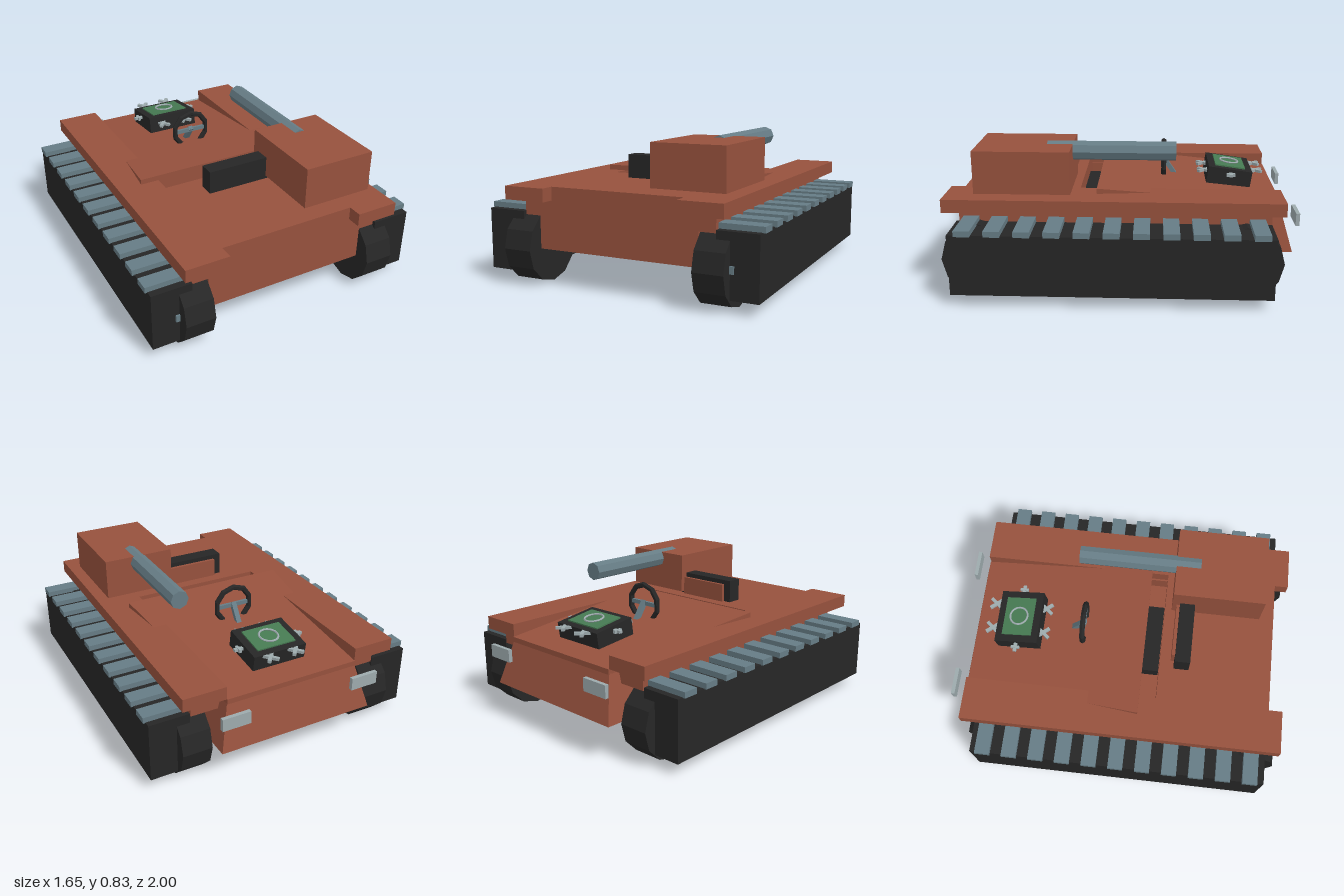
import * as THREE from 'three';

const paint = (name, color) => Object.assign(new THREE.MeshStandardMaterial({ color, flatShading: true }), { name });

export function createModel() {
  const model = new THREE.Group();
  model.name = 'trackedVehicle';
  const rust = paint('rustPaint', 0x96513d);
  const black = paint('blackRubber', 0x262626);
  const steel = paint('blueSteel', 0x667c85);
  const pale = paint('paleMetal', 0x9daaad);
  const green = paint('greenPanel', 0x467a52);

  const add = (name, geo, mat, parent = model) => {
    const m = new THREE.Mesh(geo, mat);
    m.name = name;
    parent.add(m);
    return m;
  };
  // Box given by its minimum and maximum on each axis
  const box = (name, mat, [x0, x1], [y0, y1], [z0, z1], parent = model) => {
    const m = add(name, new THREE.BoxGeometry(x1 - x0, y1 - y0, z1 - z0), mat, parent);
    m.position.set((x0 + x1) / 2, (y0 + y1) / 2, (z0 + z1) / 2);
    return m;
  };
  // Closed shape from pairs of points
  const shape = pts => new THREE.Shape(pts.map(p => new THREE.Vector2(...p)));

  // Hull: side profile (-z, y) with a cockpit recess, narrowed at the upper tail
  const hull = new THREE.ExtrudeGeometry(shape([
    [-0.905, 0.21], [0.97, 0.21], [0.895, 0.465], [0, 0.55],
    [0, 0.4], [-0.24, 0.4], [-0.24, 0.56], [-0.905, 0.56],
  ]), { depth: 0.96, bevelEnabled: false });
  hull.translate(0, 0, -0.48).rotateY(Math.PI / 2);
  const hp = hull.attributes.position;
  for (let i = 0; i < hp.count; i++) {
    if (hp.getZ(i) < -0.5) hp.setX(i, Math.sign(hp.getX(i)) * (hp.getY(i) > 0.4 ? 0.4 : 0.465));
  }
  hull.computeVertexNormals();
  add('hull', hull, rust);

  // Sloping bonnet, widening toward the cockpit
  const bonnet = new THREE.ExtrudeGeometry(shape([
    [-0.51, -0.14], [0.51, -0.14], [0.4, 0.9], [-0.4, 0.9],
  ]), { depth: 0.03, bevelEnabled: false });
  bonnet.rotateX(-Math.PI / 2);
  const bp = bonnet.attributes.position;
  for (let i = 0; i < bp.count; i++) bp.setY(i, bp.getY(i) + 0.56 + (bp.getZ(i) - 0.14) * 0.1);
  bonnet.computeVertexNormals();
  add('bonnet', bonnet, rust);

  // Both flanks
  for (const s of [-1, 1]) {
    const side = new THREE.Group();
    side.name = s > 0 ? 'leftFlank' : 'rightFlank';
    model.add(side);
    const span = (a, b) => (s > 0 ? [a, b] : [-b, -a]);

    box('fender', rust, span(0.4, 0.65), [0.485, 0.56], [-0.895, 0.985], side);
    box('sponson', rust, span(0.39, 0.575), [0.395, 0.486], [-0.83, 0.905], side);
    box('trackBlock', black, span(0.58, 0.81), [0.07, 0.415], [-0.83, 0.92], side);
    for (let i = 0; i < 11; i++) {
      const z = -0.75 + i * 0.1585;
      box('trackPad', steel, span(0.57, 0.823), [0.412, 0.445], [z - 0.044, z + 0.044], side);
    }
    for (const z of [0.79, -0.69]) {
      const wheel = add('wheel', new THREE.CylinderGeometry(0.21, 0.21, 0.17, 12).rotateZ(Math.PI / 2), black, side);
      wheel.position.set(s * 0.57, 0.212, z);
    }
    box('axleStub', steel, span(0.64, 0.678), [0.205, 0.245], [0.9, 0.93], side);
    box('lamp', pale, span(0.315, 0.48), [0.375, 0.448], [-0.998, -0.976], side);
  }

  // Seat
  box('seatCushion', black, [-0.21, 0.21], [0.4, 0.48], [0.13, 0.237]);
  box('seatBack', black, [-0.208, 0.208], [0.55, 0.697], [0.325, 0.415]);
  box('seatBackPad', rust, [-0.16, 0.16], [0.56, 0.67], [0.305, 0.326]);

  // Gun box and octagonal barrel
  box('gunBox', rust, [0.16, 0.588], [0.577, 0.817], [0.28, 0.815]);
  add('barrel', new THREE.CylinderGeometry(0.055, 0.055, 0.725, 8).rotateX(Math.PI / 2), steel)
    .position.set(0.375, 0.775, 0.0625);

  // Steering wheel with crossbar and column
  const steering = new THREE.Group();
  steering.name = 'steering';
  steering.position.set(0, 0.63, -0.235);
  model.add(steering);
  add('steeringRim', new THREE.TorusGeometry(0.111, 0.017, 6, 10).rotateZ(Math.PI / 10), black, steering);
  box('steeringCrossbar', steel, [-0.105, 0.105], [-0.012, 0.012], [-0.008, 0.008], steering);
  const column = add('steeringColumn', new THREE.BoxGeometry(0.03, 0.14, 0.026), steel, steering);
  column.position.set(0, -0.045, -0.035);
  column.rotation.x = 0.6;

  // Tilted instrument console with ring and fittings
  const consoleGroup = new THREE.Group();
  consoleGroup.name = 'console';
  consoleGroup.position.set(0, 0.61, -0.633);
  consoleGroup.rotation.x = -0.14;
  model.add(consoleGroup);
  box('consoleCase', black, [-0.163, 0.163], [-0.11, 0], [-0.131, 0.131], consoleGroup);
  box('consolePanel', green, [-0.12, 0.12], [0, 0.008], [-0.09, 0.09], consoleGroup);
  add('consoleRing', new THREE.TorusGeometry(0.054, 0.006, 6, 20).rotateX(Math.PI / 2), pale, consoleGroup)
    .position.y = 0.012;

  const fittings = new THREE.Group();
  fittings.name = 'consoleFittings';
  fittings.position.set(0, 0.583, -0.633);
  model.add(fittings);
  for (const s of [-1, 1]) {
    // Side knobs
    const rod = add('sideKnobRod', new THREE.BoxGeometry(0.06, 0.016, 0.02), pale, fittings);
    rod.position.set(s * 0.185, 0, 0);
    const cap = add('sideKnobCap', new THREE.BoxGeometry(0.016, 0.02, 0.05), pale, fittings);
    cap.position.set(s * 0.188, 0, 0);
    // Crossed handles fore and aft
    for (const e of [-1, 1]) {
      for (const a of [-0.7, 0.7]) {
        const arm = add('crossHandle', new THREE.BoxGeometry(0.02, 0.016, 0.095), pale, fittings);
        arm.position.set(s * 0.078, 0, e * 0.153);
        arm.rotation.y = a;
      }
    }
  }
  return model;
}
